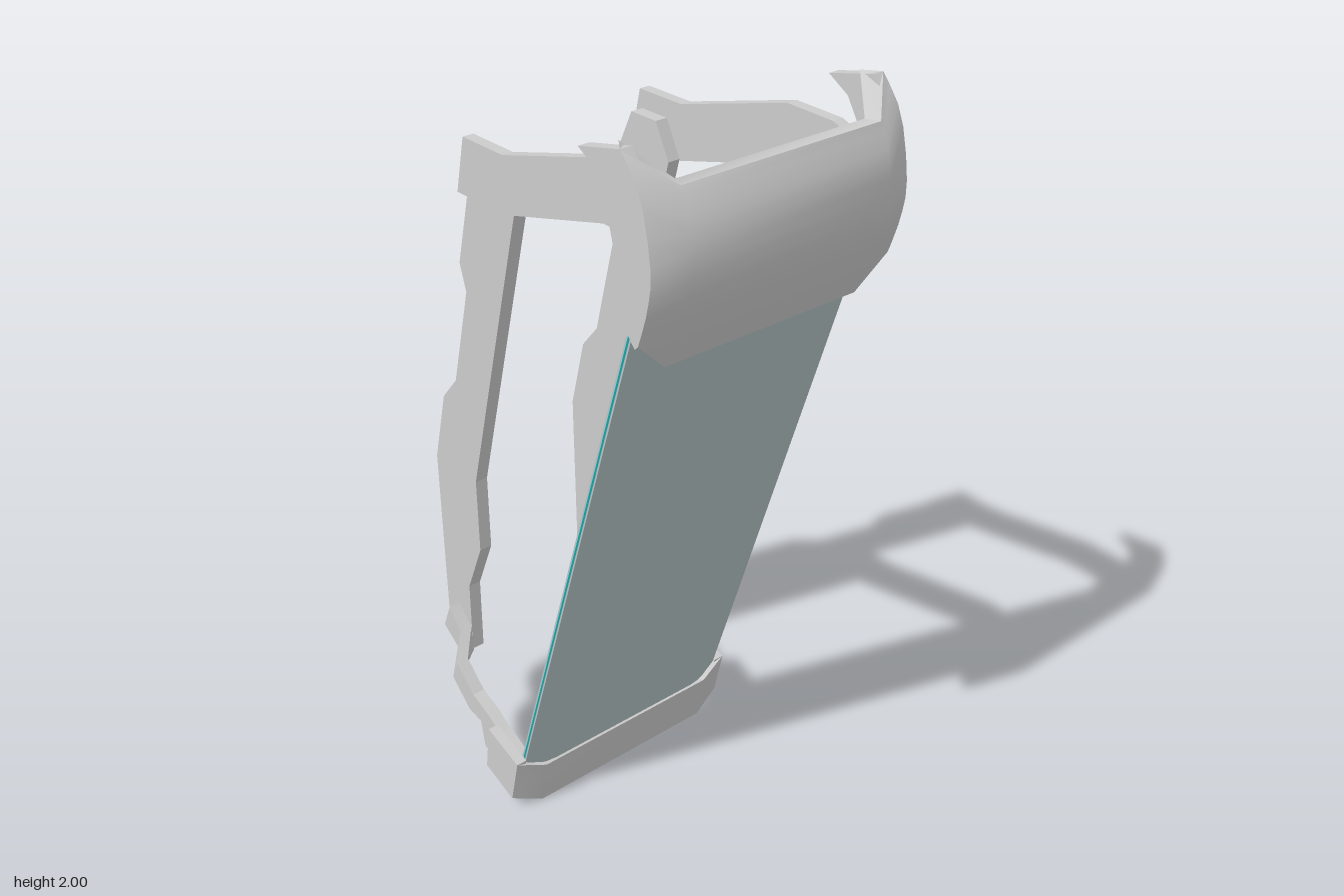
import * as THREE from 'three';
import { toCreasedNormals } from 'three/addons/utils/BufferGeometryUtils.js';

const grey = new THREE.MeshStandardMaterial({ color: 0xcccccc });
const glass = new THREE.MeshStandardMaterial({ color: 0xb6c5c5 });
const teal = new THREE.MeshStandardMaterial({ color: 0x16a0a8 });

// Joins equal closed rings; each ring is an outer line followed by the inner line reversed.
function loft(rings, crease = 0.6) {
  const n = rings[0].length, last = rings.length - 1, idx = [];
  const pts = rings.flat();
  for (let r = 0; r < last; r++) for (let i = 0; i < n; i++) {
    const a = r * n + i, b = r * n + (i + 1) % n;
    idx.push(a, b, b + n, a, b + n, a + n);
  }
  for (let i = 0; i < n / 2 - 1; i++) {
    const a = i, b = i + 1, c = n - 2 - i, d = n - 1 - i, o = last * n;
    idx.push(a, c, b, a, d, c, o + a, o + b, o + c, o + a, o + c, o + d);
  }
  // Turn the faces outward if the enclosed volume is negative
  let volume = 0;
  const [a, b, c] = [0, 1, 2].map(() => new THREE.Vector3());
  for (let i = 0; i < idx.length; i += 3) {
    a.fromArray(pts[idx[i]]); b.fromArray(pts[idx[i + 1]]); c.fromArray(pts[idx[i + 2]]);
    volume += a.dot(b.cross(c));
  }
  if (volume < 0) idx.reverse();
  const g = new THREE.BufferGeometry();
  g.setAttribute('position', new THREE.Float32BufferAttribute(pts.flat(), 3));
  g.setIndex(idx);
  return toCreasedNormals(g, crease);
}

// Flat plate: an outline in x and y, between two z values
function plate(outline, z0, z1) {
  const shape = new THREE.Shape(outline.map(([x, y]) => new THREE.Vector2(x, y)));
  const g = new THREE.ExtrudeGeometry(shape, { depth: z1 - z0, bevelEnabled: false });
  return g.translate(0, 0, z0);
}

// Smoothed profile through a few points
function smooth(points, steps) {
  const curve = new THREE.SplineCurve(points.map(p => new THREE.Vector2(...p)));
  return curve.getPoints(steps).map(p => [p.x, p.y]);
}

// Wraparound band: middle section between chamfered corners
function band(midOuter, midInner, sideOuter, sideInner) {
  const ring = (o, i, zo, zi) => [
    ...o.map(([x, y]) => [x, y, zo]),
    ...i.map(([x, y]) => [x, y, zi]).reverse()];
  return loft([
    ring(sideOuter, sideInner, -0.365, -0.335), ring(midOuter, midInner, -0.28, -0.265),
    ring(midOuter, midInner, 0.28, 0.265), ring(sideOuter, sideInner, 0.365, 0.335)]);
}

export function createModel() {
  const model = new THREE.Group();
  model.name = 'framedShield';
  const add = (name, geometry, material = grey) => {
    const m = new THREE.Mesh(geometry, material);
    m.name = name;
    model.add(m);
  };
  const addPair = (name, geometry) => {
    add(name + 'Left', geometry);
    const g = geometry.clone().scale(1, 1, -1);
    // Mirroring reverses the winding, so swap two corners of each face
    const flat = g.index ? g.toNonIndexed() : g;
    for (const attr of Object.values(flat.attributes)) {
      const s = attr.itemSize, v = attr.array;
      for (let i = 0; i < v.length; i += 3 * s) for (let k = 0; k < s; k++)
        [v[i + s + k], v[i + 2 * s + k]] = [v[i + 2 * s + k], v[i + s + k]];
    }
    add(name + 'Right', flat);
  };

  // Leaning panel with its long edges bent back: two panes around a coloured core
  const bend = [[-0.333, -0.02], [-0.29, -0.007], [-0.24, 0], [0.24, 0], [0.29, -0.007], [0.333, -0.02]];
  const layer = (d0, d1) => {
    const ring = (x, y) => {
      const line = d => bend.map(([z, o]) => [x + (o - d) * 0.955, y - (o - d) * 0.296, z]);
      return [...line(d0), ...line(d1).reverse()];
    };
    return loft([ring(-0.043, 0.11), ring(0.41, 1.578)]);
  };
  add('frontPane', layer(0, 0.005), glass);
  add('paneCore', layer(0.005, 0.011), teal);
  add('backPane', layer(0.011, 0.016), glass);

  // Curved top guard and its cheeks
  const mid = smooth([[0.475, 1.93], [0.505, 1.86], [0.515, 1.78], [0.5, 1.68], [0.435, 1.52]], 10);
  const side = smooth([[0.395, 2], [0.455, 1.92], [0.487, 1.78], [0.478, 1.69], [0.45, 1.6]], 10);
  const inward = (line, d) => line.map(([x, y]) => [x - d, y]);
  add('topGuard', band(mid, inward(mid, 0.033), side, inward(side, 0.04)));
  addPair('topGuardCheek', plate([
    [0.265, 1.97], ...side, [0.44, 1.59], [0.365, 1.67], [0.375, 1.77],
    [0.36, 1.88], [0.325, 1.935]], 0.335, 0.365));

  // Bottom clip and its cheeks
  add('bottomClip', band(
    [[-0.025, 0.14], [-0.05, 0.003]], [[-0.055, 0.135], [-0.085, 0.025]],
    [[-0.04, 0.175], [-0.07, 0.04]], [[-0.065, 0.18], [-0.095, 0.045]]));
  addPair('bottomClipCheek', plate([
    [-0.165, 0.217], [-0.04, 0.175], [-0.07, 0.04], [-0.183, 0.08]], 0.335, 0.365));

  // Upper arm with a hooked end inside the guard
  addPair('upperArm', plate([
    [-0.27, 1.817], [-0.12, 1.817], [0.23, 1.913], [0.37, 1.91], [0.455, 1.88],
    [0.47, 1.78], [0.45, 1.65], [0.385, 1.65], [0.37, 1.77], [0.23, 1.77],
    [-0.125, 1.675], [-0.303, 1.675]], 0.245, 0.275));

  // Long rear arm
  addPair('rearArm', plate([
    [-0.26, 1.77], [-0.17, 1.77], [-0.122, 1.68], [-0.34, 0.86], [-0.337, 0.65],
    [-0.4, 0.5], [-0.4, 0.29], [-0.495, 0.32], [-0.507, 0.35], [-0.51, 0.5],
    [-0.517, 0.86], [-0.465, 1.06], [-0.405, 1.13], [-0.335, 1.4], [-0.357, 1.47],
    [-0.303, 1.68]], 0.21, 0.245));

  // Lower arm, stepping outward: top x, y, bottom x, y, inner z, outer z
  const stations = [
    [-0.455, 0.415, -0.485, 0.34, 0.243, 0.278],
    [-0.405, 0.365, -0.4, 0.285, 0.243, 0.28],
    [-0.345, 0.315, -0.37, 0.255, 0.3, 0.335],
    [-0.275, 0.25, -0.3, 0.188, 0.3, 0.335],
    [-0.205, 0.222, -0.245, 0.178, 0.3, 0.335],
    [-0.17, 0.2, -0.23, 0.1, 0.3, 0.335],
    [-0.06, 0.15, -0.075, 0.05, 0.3, 0.335]];
  addPair('lowerArm', loft(stations.map(([tx, ty, bx, by, zi, zo]) =>
    [[tx, ty, zi], [tx, ty, zo], [bx, by, zo], [bx, by, zi]]), 0.2));

  return model;
}
